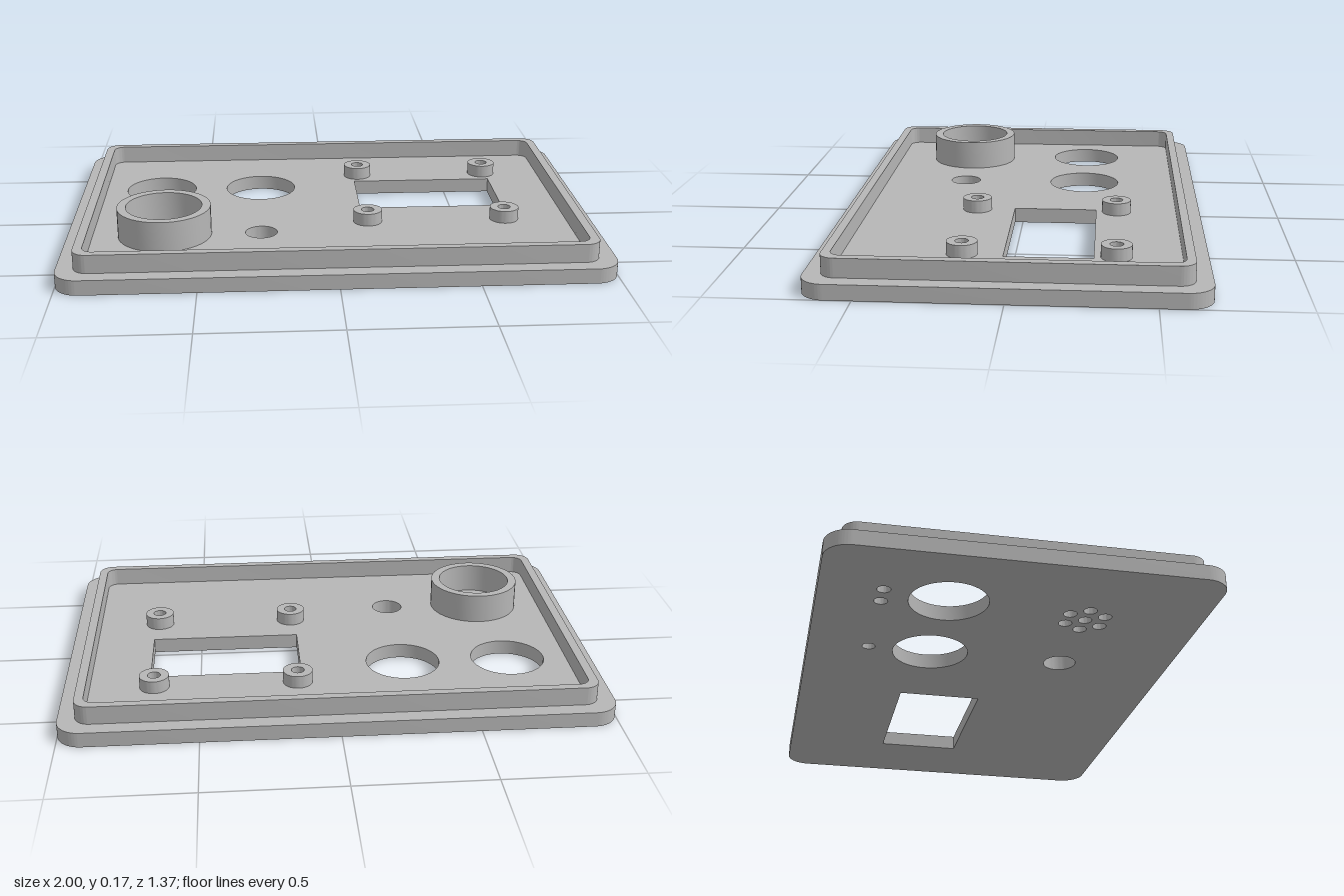
import * as THREE from 'three';
import { toCreasedNormals } from 'three/addons/utils/BufferGeometryUtils.js';

const FLOOR = 0.056, RIM_TOP = 0.125, RING_TOP = 0.17;

// Rounded rectangle outline, centred on the origin
function roundedRect(Type, hx, hy, r) {
  const s = new Type();
  s.moveTo(-hx + r, -hy);
  s.lineTo(hx - r, -hy);
  s.absarc(hx - r, -hy + r, r, -Math.PI / 2, 0);
  s.lineTo(hx, hy - r);
  s.absarc(hx - r, hy - r, r, 0, Math.PI / 2);
  s.lineTo(-hx + r, hy);
  s.absarc(-hx + r, hy - r, r, Math.PI / 2, Math.PI);
  s.lineTo(-hx, -hy + r);
  s.absarc(-hx + r, -hy + r, r, Math.PI, Math.PI * 1.5);
  return s;
}

// Circle at plan position x, z (shape y is -z)
function circle(Type, x, z, r) {
  return new Type().absarc(x, -z, r, 0, Math.PI * 2);
}

export function createModel() {
  const group = new THREE.Group();
  group.name = 'enclosureLid';
  const grey = new THREE.MeshStandardMaterial({ color: 0xb6b6b6 });
  grey.name = 'grey plastic';

  // Raises a plan shape from y0 to y1
  function slab(name, shape, y0, y1) {
    const geo = new THREE.ExtrudeGeometry(shape, { depth: y1 - y0, bevelEnabled: false, curveSegments: 24 });
    geo.rotateX(-Math.PI / 2).translate(0, y0, 0);
    const mesh = new THREE.Mesh(toCreasedNormals(geo, 0.6), grey);
    mesh.name = name;
    group.add(mesh);
  }

  // Base plate with all openings
  const plate = roundedRect(THREE.Shape, 1, 0.683, 0.09);
  const speaker = [-0.635, 0.267];
  const dialHoles = [[-0.68, -0.23, 0.14], [-0.273, -0.23, 0.14]];
  const buttonHole = [-0.273, 0.267, 0.06];
  const grille = [[0, 0], [0.072, 0], [-0.072, 0], [0.036, 0.063], [-0.036, 0.063], [0.036, -0.063], [-0.036, -0.063]]
    .map(([x, z]) => [speaker[0] + x, speaker[1] + z, 0.024]);
  const pockets = [[-0.28, -0.46, 0.024], [-0.64, -0.46, 0.024], [-0.725, -0.46, 0.024]];
  for (const h of [...dialHoles, buttonHole, ...grille, ...pockets]) plate.holes.push(circle(THREE.Path, ...h));
  plate.holes.push(new THREE.Path([[0.12, 0.285], [0.685, 0.285], [0.685, -0.03], [0.12, -0.03]]
    .map(([x, y]) => new THREE.Vector2(x, y))).closePath());
  slab('basePlate', plate, 0, FLOOR);

  // Closed ends of the blind pockets in the underside
  for (const p of pockets) slab('pocketEnd', circle(THREE.Shape, ...p), 0.044, FLOOR);

  // Raised rim
  const rim = roundedRect(THREE.Shape, 0.938, 0.623, 0.055);
  rim.holes.push(roundedRect(THREE.Path, 0.905, 0.592, 0.04));
  slab('rim', rim, FLOOR, RIM_TOP);

  // Speaker collar
  const collar = circle(THREE.Shape, ...speaker, 0.175);
  collar.holes.push(circle(THREE.Path, ...speaker, 0.142));
  slab('speakerCollar', collar, FLOOR, RING_TOP);

  // Screw posts around the display window
  for (const x of [0.137, 0.667]) for (const z of [-0.363, 0.175]) {
    const post = circle(THREE.Shape, x, z, 0.055);
    post.holes.push(circle(THREE.Path, x, z, 0.024));
    slab('screwPost', post, FLOOR, FLOOR + 0.048);
  }
  return group;
}
